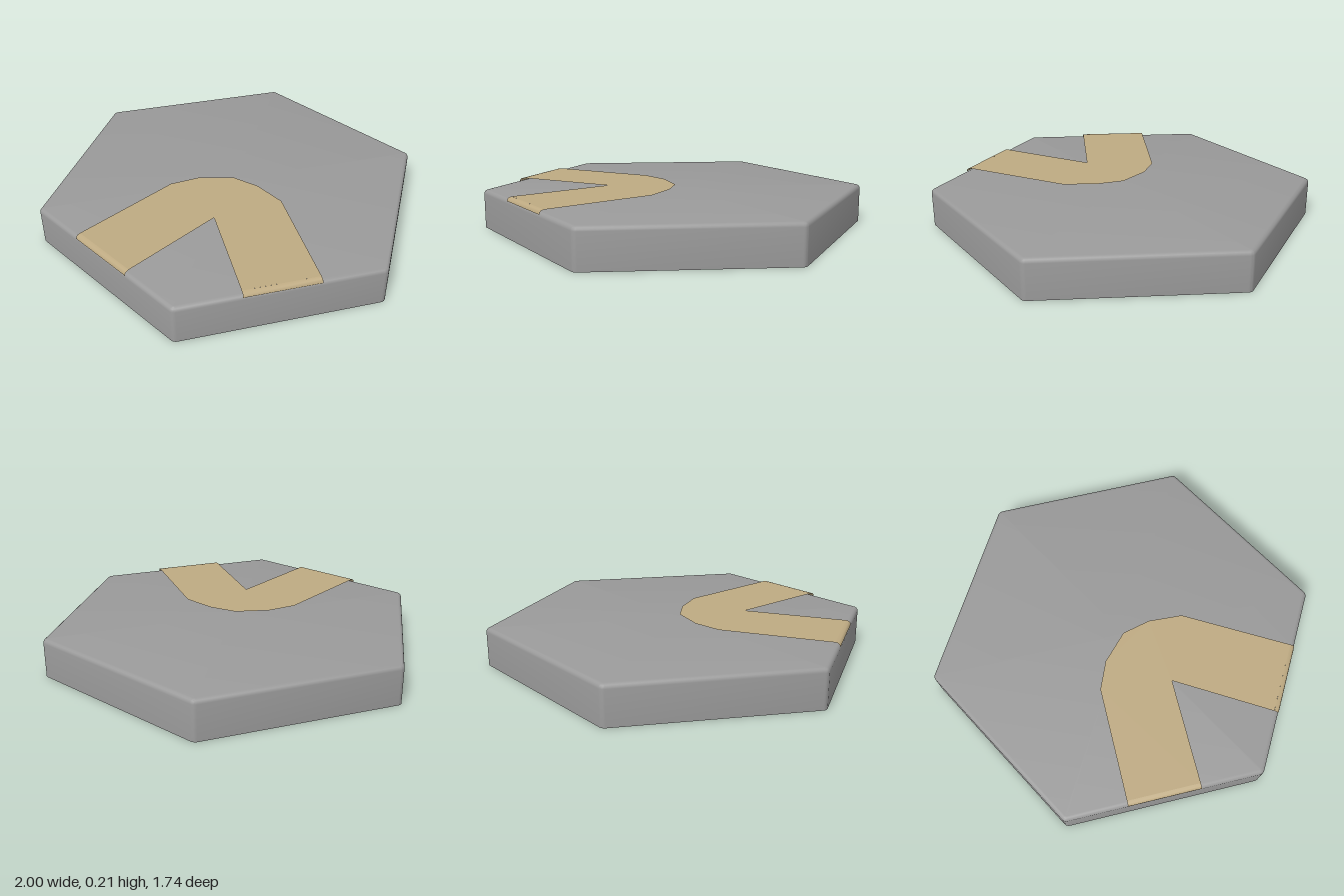
import * as THREE from 'three';
import { toCreasedNormals } from 'three/addons/utils/BufferGeometryUtils.js';

const APOTHEM = 0.8695, HEIGHT = 0.2, CORNER = 0.03, BEVEL = 0.022;
const ROAD_WIDTH = 0.37, ROAD_Y = 0.213;

// Hexagon with rounded corners, moved inwards by inset
function hexRing(inset, y) {
  const ring = [], steps = 4, reach = (APOTHEM - CORNER) / Math.cos(Math.PI / 6);
  for (let c = 0; c < 6; c++) {
    const a = c * Math.PI / 3;
    for (let s = 0; s <= steps; s++) {
      const b = a + (s / steps - 0.5) * Math.PI / 3;
      ring.push(new THREE.Vector3(
        reach * Math.cos(a) + (CORNER - inset) * Math.cos(b), y,
        reach * Math.sin(a) + (CORNER - inset) * Math.sin(b)));
    }
  }
  return ring;
}

// Tile body: stacked rings, with a rounded top edge and flat caps
function tileGeometry() {
  const rings = [hexRing(0, 0)];
  for (let i = 0; i <= 4; i++) {
    const t = i / 4 * Math.PI / 2;
    rings.push(hexRing(BEVEL * (1 - Math.cos(t)), HEIGHT - BEVEL * (1 - Math.sin(t))));
  }
  const n = rings[0].length, pos = [], idx = [];
  rings.flat().forEach(p => pos.push(p.x, p.y, p.z));
  const bottom = pos.length / 3, top = bottom + 1, last = (rings.length - 1) * n;
  pos.push(0, 0, 0, 0, HEIGHT, 0);
  for (let j = 0; j < n; j++) {
    const k = (j + 1) % n;
    for (let r = 0; r < rings.length - 1; r++) {
      const a = r * n + j, b = r * n + k;
      idx.push(a, a + n, b, b, a + n, b + n);
    }
    idx.push(bottom, j, k, top, last + k, last + j);
  }
  const g = new THREE.BufferGeometry();
  g.setAttribute('position', new THREE.Float32BufferAttribute(pos, 3));
  g.setIndex(idx);
  return toCreasedNormals(g, 0.5);
}

// Thin bent road sheet just above the tile, drawn as [x, z]
function roadGeometry() {
  const outline = [
    [-0.185, 0.846], [-0.185, 0.27], [-0.125, 0.13], [0, 0], [0.145, -0.035],
    [0.32, -0.025], [0.825, 0.263], [0.64, 0.583], [0.18, 0.31], [0.185, 0.846],
  ];
  const shape = new THREE.Shape(outline.map(([x, z]) => new THREE.Vector2(x, -z)));
  return new THREE.ShapeGeometry(shape).rotateX(-Math.PI / 2).translate(0, ROAD_Y, 0);
}

// Road end curling down over the tile edge, profile as [z, y]
function roadEndGeometry() {
  const profile = [[0.846, ROAD_Y], [0.86, 0.21], [0.868, 0.203], [0.871, 0.192]];
  const g = new THREE.PlaneGeometry(ROAD_WIDTH, 1, 1, profile.length - 1);
  const p = g.attributes.position;
  for (let i = 0; i < p.count; i++) {
    const [z, y] = profile[Math.floor(i / 2)];
    p.setXYZ(i, p.getX(i), y, z);
  }
  g.computeVertexNormals();
  return g;
}

export function createModel() {
  const model = new THREE.Group();
  model.name = 'hexRoadTile';
  const grey = new THREE.MeshStandardMaterial({ color: 0x9a9a9a });
  const sand = new THREE.MeshStandardMaterial({ color: 0xbeaa82, side: THREE.DoubleSide });
  const add = (name, geometry, material) => {
    const mesh = new THREE.Mesh(geometry, material);
    mesh.name = name;
    model.add(mesh);
    return mesh;
  };
  add('tile', tileGeometry(), grey);
  add('road', roadGeometry(), sand);
  add('frontRoadEnd', roadEndGeometry(), sand);
  add('leftRoadEnd', roadEndGeometry(), sand).rotation.y = Math.PI / 3;
  return model;
}
